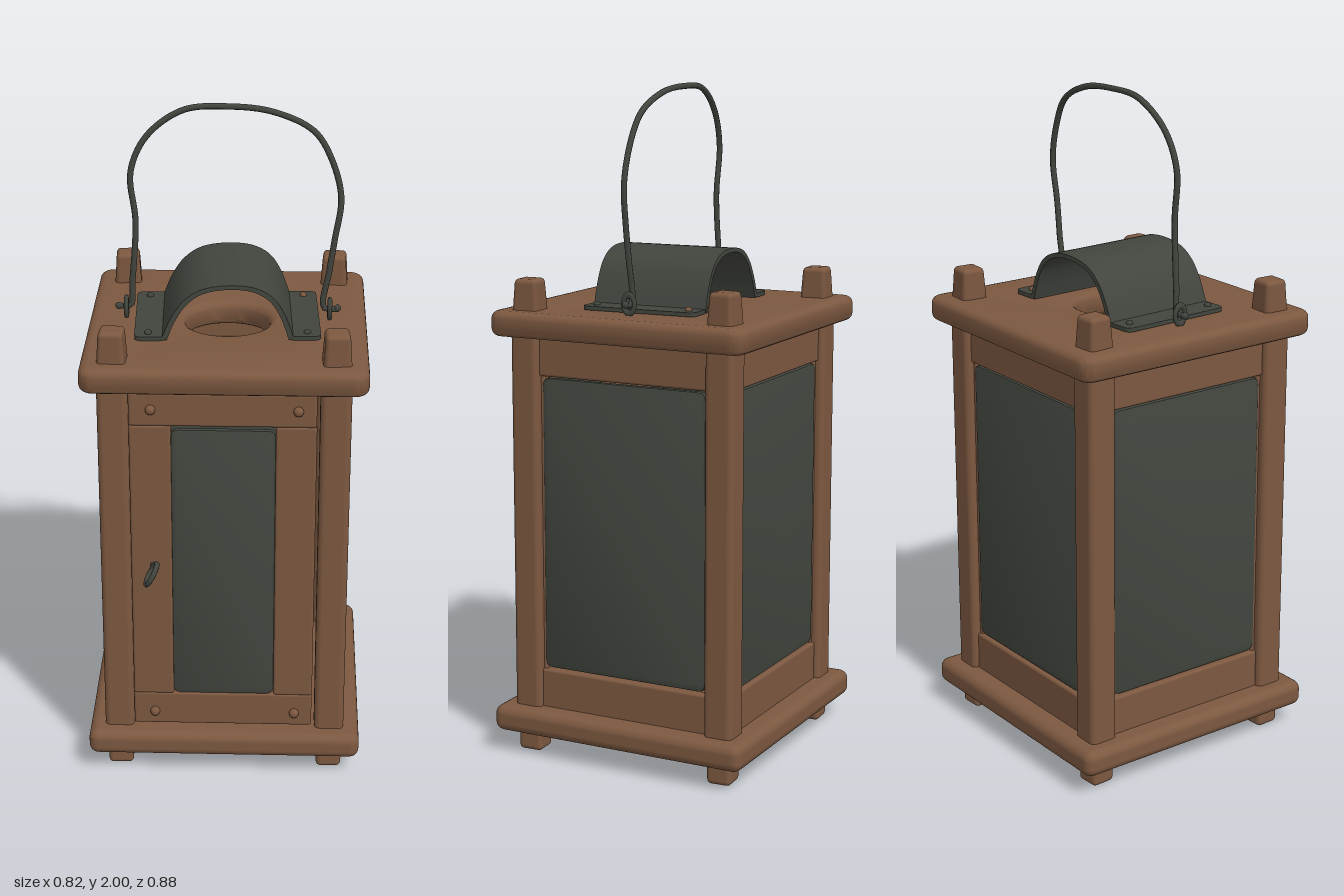
import * as THREE from 'three';
import { toCreasedNormals } from 'three/addons/utils/BufferGeometryUtils.js';
import { RoundedBoxGeometry } from 'three/addons/geometries/RoundedBoxGeometry.js';

const material = (name, color, side = THREE.FrontSide) => {
  const m = new THREE.MeshStandardMaterial({ color, side });
  m.name = name;
  return m;
};

export function createModel() {
  const model = new THREE.Group();
  model.name = 'lantern';
  const wood = material('brown wood', 0x7c5840);
  const iron = material('dark iron', 0x42453e);
  const glass = material('smoky glass', 0x42453e, THREE.DoubleSide);
  const CZ = -0.027; // centre of the body in depth
  const POST = 0.32;

  const add = (name, geometry, mat, x = 0, y = 0, z = 0, parent = model) => {
    const mesh = new THREE.Mesh(geometry, mat);
    mesh.name = name;
    mesh.position.set(x, y, z);
    parent.add(mesh);
    return mesh;
  };
  const plank = (w, h, d, r = 0.008) => new RoundedBoxGeometry(w, h, d, 3, r);
  const roundedRect = (w, h, r) => {
    const s = new THREE.Shape();
    const x = w / 2, y = h / 2;
    s.moveTo(-x + r, -y);
    s.lineTo(x - r, -y).quadraticCurveTo(x, -y, x, -y + r);
    s.lineTo(x, y - r).quadraticCurveTo(x, y, x - r, y);
    s.lineTo(-x + r, y).quadraticCurveTo(-x, y, -x, y - r);
    s.lineTo(-x, -y + r).quadraticCurveTo(-x, -y, -x + r, -y);
    return s;
  };

  // Pane with a softened edge, centred on its own plane
  const pane = (w, h) => {
    const b = 0.006;
    const g = new THREE.ExtrudeGeometry(roundedRect(w - 2 * b, h - 2 * b, 0.018), {
      depth: 0.006, bevelEnabled: true, bevelSize: b, bevelThickness: b, bevelSegments: 2, curveSegments: 5,
    });
    g.translate(0, 0, -0.003);
    return toCreasedNormals(g, 0.6);
  };

  // Base plate
  add('basePlate', plank(0.825, 0.08, 0.825, 0.028), wood, 0, 0.105, CZ);

  // Top plate with the smoke hole
  const topShape = roundedRect(0.775, 0.775, 0.02);
  const hole = new THREE.Path();
  hole.absarc(0, 0, 0.15, 0, Math.PI * 2, true);
  topShape.holes.push(hole);
  const topGeometry = new THREE.ExtrudeGeometry(topShape, {
    depth: 0.032, bevelEnabled: true, bevelSize: 0.025, bevelThickness: 0.022, bevelSegments: 4, curveSegments: 20,
  });
  topGeometry.rotateX(-Math.PI / 2);
  add('topPlate', toCreasedNormals(topGeometry, 0.7), wood, 0, 1.296, CZ);

  // Corner posts with tapered tenons above and feet below
  const tenonGeometry = plank(0.084, 0.11, 0.084, 0.014);
  const p = tenonGeometry.attributes.position;
  for (let i = 0; i < p.count; i++) {
    const k = 1 - 0.17 * (p.getY(i) / 0.11 + 0.5);
    p.setX(i, p.getX(i) * k);
    p.setZ(i, p.getZ(i) * k);
  }
  for (const sx of [-1, 1]) {
    for (const sz of [-1, 1]) {
      const post = new THREE.Group();
      post.name = 'cornerPost';
      post.position.set(sx * POST, 0, CZ + sz * 0.318);
      model.add(post);
      add('postBody', plank(0.09, 1.16, 0.09, 0.018), wood, 0, 0.71, 0, post);
      add('postTenon', tenonGeometry, wood, 0, 1.386, 0, post).rotation.y = sx * sz * 0.06;
      add('postFoot', plank(0.076, 0.1, 0.076, 0.014), wood, 0, 0.05, 0, post).rotation.y = 0.05;
    }
  }

  // Left, right and back walls: two rails, thin stiles and a pane
  for (const angle of [Math.PI / 2, -Math.PI / 2, Math.PI]) {
    const wall = new THREE.Group();
    wall.name = 'wall';
    wall.position.z = CZ;
    wall.rotation.y = angle;
    model.add(wall);
    add('topRail', plank(0.56, 0.13, 0.035), wood, 0, 1.222, 0.328, wall);
    add('bottomRail', plank(0.56, 0.13, 0.035), wood, 0, 0.197, 0.328, wall);
    for (const s of [-1, 1]) add('sideStrip', plank(0.03, 0.92, 0.03), wood, s * 0.277, 0.71, 0.322, wall);
    add('windowPane', pane(0.535, 0.885), glass, 0, 0.71, 0.331, wall);
  }

  // Front door
  const door = new THREE.Group();
  door.name = 'door';
  model.add(door);
  add('doorTopRail', plank(0.54, 0.105, 0.034), wood, -0.004, 1.214, 0.323, door);
  add('doorBottomRail', plank(0.54, 0.11, 0.034), wood, -0.004, 0.212, 0.323, door);
  add('doorRightStile', plank(0.122, 0.9, 0.034), wood, -0.213, 0.713, 0.322, door);
  add('doorLeftStile', plank(0.118, 0.9, 0.034), wood, 0.208, 0.713, 0.322, door);
  add('doorPane', pane(0.304, 0.885), glass, -0.002, 0.708, 0.328, door);
  const peg = new THREE.SphereGeometry(0.015, 12, 8);
  for (const x of [-0.21, 0.213]) for (const y of [0.203, 1.215]) {
    add('doorPeg', peg, wood, x, y, 0.343, door);
  }

  // Ring pull
  const pull = new THREE.Group();
  pull.name = 'ringPull';
  pull.position.set(-0.21, 0.712, 0.4);
  pull.rotation.z = -0.5;
  model.add(pull);
  add('ring', new THREE.TorusGeometry(0.034, 0.008, 8, 24), iron, 0, 0, 0, pull).rotation.y = Math.PI / 2;
  add('ringStem', new THREE.CylinderGeometry(0.007, 0.007, 0.04, 8), iron, 0, 0, -0.05, pull).rotation.x = Math.PI / 2;

  // Arched smoke cover made from one bent sheet
  const cover = new THREE.Group();
  cover.name = 'smokeCover';
  cover.position.set(-0.002, 1.352, CZ);
  cover.rotation.y = 0.04;
  model.add(cover);
  const arch = [[-0.19, 0.012], [-0.165, 0.07], [-0.128, 0.123], [-0.075, 0.158], [0, 0.17],
    [0.075, 0.163], [0.13, 0.133], [0.165, 0.08], [0.19, 0.012]];
  const outer = new THREE.SplineCurve(arch.map(([x, y]) => new THREE.Vector2(x, y))).getPoints(32);
  const inner = outer.map((v) => new THREE.Vector2(v.x * 0.935, v.y - 0.013)).reverse();
  inner[0].y = inner[inner.length - 1].y = 0;
  const sheet = new THREE.Shape([...outer, ...inner]);
  const sheetGeometry = new THREE.ExtrudeGeometry(sheet, { depth: 0.36, bevelEnabled: false });
  sheetGeometry.translate(0, 0, -0.18);
  add('coverArch', toCreasedNormals(sheetGeometry, 0.6), iron, 0, 0, 0, cover);
  const flange = new THREE.ExtrudeGeometry(roundedRect(0.095, 0.36, 0.022), { depth: 0.012, bevelEnabled: false });
  flange.rotateX(-Math.PI / 2);
  const rivet = new THREE.SphereGeometry(0.011, 10, 6);
  for (const s of [-1, 1]) {
    add('coverFlange', flange, iron, s * 0.224, 0, 0, cover);
    for (const z of [-0.145, 0.15]) {
      // One corner is held by a wooden peg
      add('coverRivet', rivet, s > 0 && z < 0 ? wood : iron, s * 0.232, 0.012, z, cover);
    }
  }

  // Bent wire handle
  const path = [[-0.325, 1.385, -0.03], [-0.29, 1.385, -0.03], [-0.283, 1.46, -0.029], [-0.27, 1.65, -0.026],
    [-0.282, 1.8, -0.03], [-0.235, 1.905, -0.037], [-0.13, 1.98, -0.047], [0, 1.991, -0.05], [0.13, 1.977, -0.047],
    [0.245, 1.925, -0.04], [0.295, 1.85, -0.034], [0.328, 1.73, -0.029], [0.312, 1.6, -0.026],
    [0.298, 1.5, -0.028], [0.285, 1.385, -0.03], [0.328, 1.38, -0.03]];
  const curve = new THREE.CatmullRomCurve3(path.map((v) => new THREE.Vector3(...v)), false, 'centripetal');
  add('handle', new THREE.TubeGeometry(curve, 120, 0.009, 8, false), iron);

  // Staples that hold the handle
  for (const s of [-1, 1]) {
    const staple = add('handleStaple', new THREE.TorusGeometry(0.018, 0.007, 8, 16), iron, s * 0.302, 1.382, CZ - 0.002);
    staple.rotation.y = Math.PI / 2;
    staple.scale.y = 1.5;
    add('handleEnd', new THREE.SphereGeometry(0.011, 8, 6), iron, s * 0.325, 1.384, -0.03);
  }

  return model;
}
